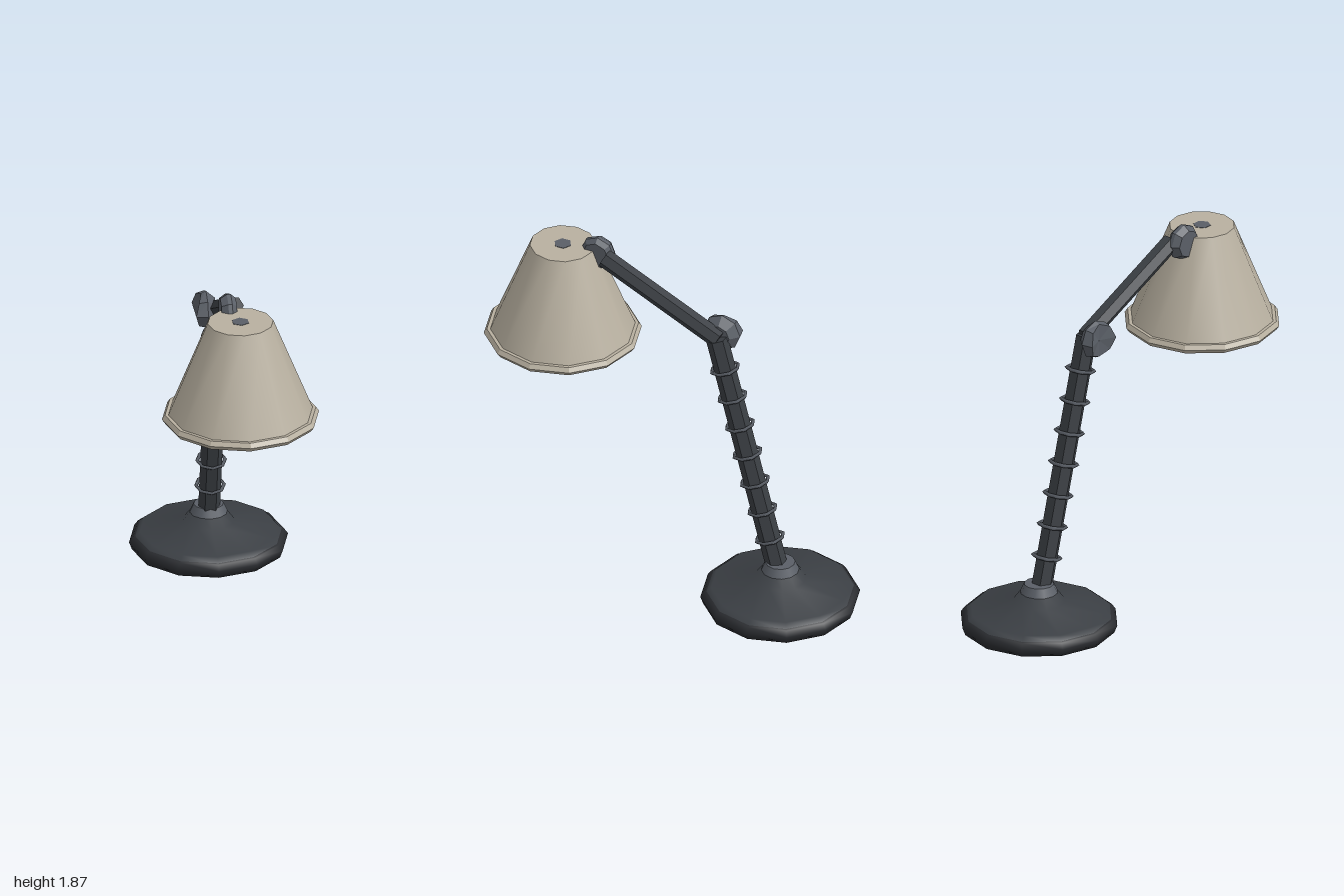
import * as THREE from 'three';

const BASE_Z = -0.6, SHADE_Z = 0.6;

function material(color, flat = false, side = THREE.FrontSide) {
  const m = new THREE.MeshStandardMaterial({ color, flatShading: flat });
  m.side = side;
  return m;
}

export function createModel() {
  const lamp = new THREE.Group();
  lamp.name = 'deskLamp';

  const dark = material(0x3a3e43);
  const darkRim = material(0x2a2c30);
  const armMat = material(0x3a3e43, true);
  const metal = material(0x5a5f67);
  const jointMat = material(0x5a5f67, true);
  const cream = material(0xb8b0a0);
  const creamFlat = material(0xb8b0a0, true);
  const olive = material(0x6b5c38);
  const glow = material(0xc8b880);

  const add = (name, geometry, mat, x = 0, y = 0, z = 0) => {
    const mesh = new THREE.Mesh(geometry, mat);
    mesh.name = name;
    mesh.position.set(x, y, z);
    lamp.add(mesh);
    return mesh;
  };
  const lathe = (points, sides) =>
    new THREE.LatheGeometry(points.map(p => new THREE.Vector2(p[0], p[1])), sides);
  const up = new THREE.Vector3(0, 1, 0);

  // Hexagonal bar between two points, with corners to the left and right
  const bar = (name, a, b, radius) => {
    const dir = b.clone().sub(a);
    const g = new THREE.CylinderGeometry(radius, radius, dir.length(), 6).rotateY(Math.PI / 6);
    const mesh = add(name, g, armMat);
    mesh.position.copy(a).add(b).multiplyScalar(0.5);
    mesh.quaternion.setFromUnitVectors(up, dir.normalize());
    return mesh;
  };

  // Weighted foot: heavy rim, shallow cone and neck
  add('baseRim', lathe([[0, 0], [0.385, 0], [0.4, 0.04], [0.38, 0.068], [0.36, 0.075]], 12),
    darkRim, 0, 0, BASE_Z);
  add('baseCone', lathe([[0.375, 0.066], [0.345, 0.095], [0.13, 0.14], [0.085, 0.2], [0, 0.2]], 12),
    dark, 0, 0, BASE_Z);
  add('collar', new THREE.CylinderGeometry(0.075, 0.095, 0.045, 12), metal, 0, 0.21, BASE_Z);

  // Arms
  const foot = new THREE.Vector3(0, 0.15, -0.595);
  const elbow = new THREE.Vector3(0, 1.47, -0.25);
  bar('lowerArm', foot, elbow, 0.055);
  bar('upperArm', new THREE.Vector3(0, 1.465, -0.26), new THREE.Vector3(0, 1.775, 0.37), 0.048);

  // Seven spring rings around the lower arm
  const lean = new THREE.Quaternion().setFromUnitVectors(up, elbow.clone().sub(foot).normalize());
  const ringGeometry = new THREE.TorusGeometry(0.07, 0.01, 4, 8).rotateX(Math.PI / 2);
  for (let i = 0; i < 7; i++) {
    const t = i / 6;
    const ring = add('springRing', ringGeometry, metal, 0, 0.36 + 0.942 * t, -0.543 + 0.248 * t);
    ring.quaternion.copy(lean);
  }

  // Elbow knob: eight-sided disc whose outer face dips across the middle
  const knob = lathe([[0, 0], [0.06, 0], [0.1, 0.045], [0.088, 0.07], [0, 0.07]], 8)
    .rotateZ(Math.PI / 2);
  const p = knob.attributes.position;
  for (let i = 0; i < p.count; i++) {
    if (p.getX(i) < -0.05) p.setX(i, p.getX(i) - 0.035 * (p.getZ(i) / 0.088) ** 2);
  }
  add('elbowKnob', knob, jointMat, -0.015, 1.47, -0.25);

  // Head knob: flat eight-sided disc with bevelled edges
  const headKnob = lathe([[0, 0], [0.07, 0], [0.092, 0.025], [0.092, 0.045], [0.07, 0.078], [0, 0.078]], 8)
    .rotateZ(Math.PI / 2);
  add('headKnob', headKnob, jointMat, 0, 1.773, 0.42);

  // Shade with rolled rim
  add('shade', new THREE.CylinderGeometry(0.165, 0.37, 0.51, 12), cream, 0, 1.54, SHADE_Z);
  add('shadeRim', lathe([[0.355, 1.258], [0.38, 1.258], [0.395, 1.28], [0.38, 1.303],
    [0.355, 1.303], [0.345, 1.28], [0.355, 1.258]], 12), creamFlat, 0, 0, SHADE_Z);

  // Socket, underside and bulb
  add('socket', new THREE.CylinderGeometry(0.045, 0.045, 0.3, 6), metal, 0, 1.647, SHADE_Z);
  add('shadeUnderside', new THREE.CircleGeometry(0.36, 12).rotateX(Math.PI / 2), olive, 0, 1.282, SHADE_Z);
  add('reflector', new THREE.CircleGeometry(0.185, 12).rotateX(Math.PI / 2), glow, 0, 1.278, SHADE_Z);
  add('bulb', new THREE.SphereGeometry(0.15, 12, 8), cream, 0, 1.35, SHADE_Z);

  return lamp;
}
